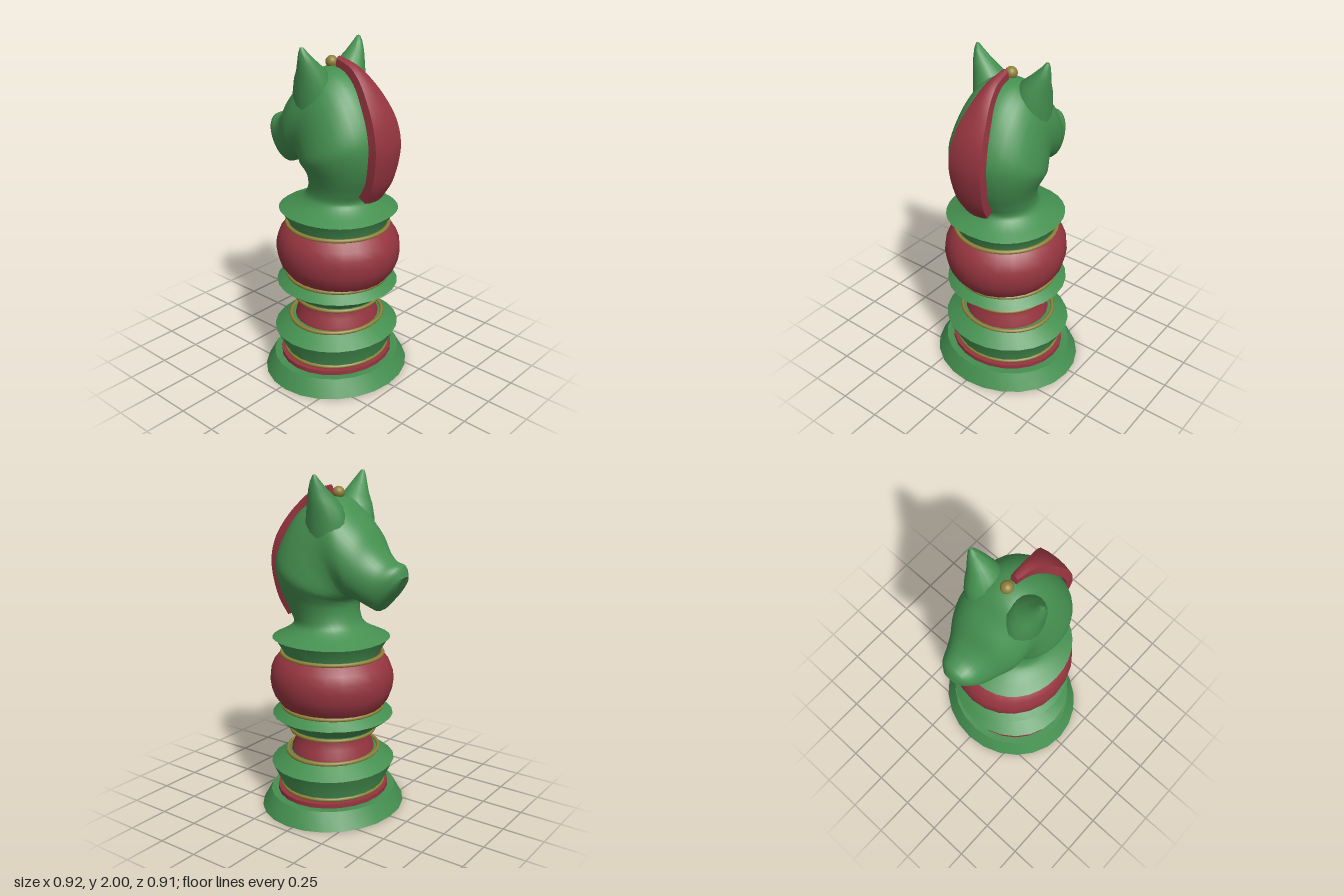
import * as THREE from 'three';
import { toCreasedNormals } from 'three/addons/utils/BufferGeometryUtils.js';

const paint = (color) => new THREE.MeshStandardMaterial({ color });
const green = paint(0x459050), red = paint(0x963540), gold = paint(0x8f8038);

// Skin a stack of rings (each counterclockwise seen from above) and cap both ends.
function loft(rings, crease) {
  const n = rings[0].length, pts = rings.flat(), index = [];
  for (let i = 0; i < rings.length - 1; i++) {
    for (let j = 0; j < n; j++) {
      const a = i * n + j, b = i * n + (j + 1) % n;
      index.push(a, b, a + n, b, b + n, a + n);
    }
  }
  [rings[0], rings[rings.length - 1]].forEach((ring, top) => {
    const mid = ring.reduce((s, p) => s.add(p), new THREE.Vector3()).divideScalar(n);
    const c = pts.push(mid) - 1, start = top ? (rings.length - 1) * n : 0;
    for (let j = 0; j < n; j++) {
      const a = start + j, b = start + (j + 1) % n;
      index.push(c, top ? a : b, top ? b : a);
    }
  });
  const geo = new THREE.BufferGeometry().setFromPoints(pts);
  geo.setIndex(index);
  geo.computeVertexNormals();
  return toCreasedNormals(geo, crease);
}

// Curves through [innerZ, innerY, outerZ, outerY, halfWidth] stations.
function sweep(stations, steps, ringAt) {
  const inner = new THREE.CatmullRomCurve3(stations.map(s => new THREE.Vector3(0, s[1], s[0])));
  const outer = new THREE.CatmullRomCurve3(stations.map(s => new THREE.Vector3(s[4], s[3], s[2])));
  return Array.from({ length: steps + 1 }, (_, i) => {
    const a = inner.getPoint(i / steps), b = outer.getPoint(i / steps), w = b.x;
    b.x = 0;
    return ringAt(a, b, w);
  });
}

export function createModel() {
  const group = new THREE.Group();
  const add = (name, geo, mat) => {
    const mesh = new THREE.Mesh(geo, mat);
    mesh.name = name;
    group.add(mesh);
    return mesh;
  };

  // Turned parts of the pedestal: [radius, y] profiles, depth scale and z centre
  const turned = (name, mat, profile, depth, z) => {
    const pts = [[0, profile[0][1]], ...profile, [0, profile[profile.length - 1][1]]];
    const geo = new THREE.LatheGeometry(pts.map(p => new THREE.Vector2(...p)), 24);
    geo.scale(1, 1, depth);
    geo.translate(0, 0, z);
    add(name, toCreasedNormals(geo, 0.55), mat);
  };
  turned('base', green, [[0.458, 0], [0.4, 0.1]], 0.92, 0.035);
  turned('baseDisc', red, [[0.355, 0.09], [0.355, 0.125]], 0.92, 0.035);
  turned('lowerFlange', green, [[0.32, 0.12], [0.325, 0.15], [0.39, 0.28], [0.285, 0.35]], 0.935, 0.035);
  turned('waist', red, [[0.262, 0.34], [0.255, 0.37], [0.236, 0.41], [0.224, 0.45], [0.22, 0.49]], 0.95, 0.037);
  turned('middleFlange', green, [[0.25, 0.475], [0.255, 0.5], [0.36, 0.58], [0.295, 0.63]], 1.01, 0.038);
  turned('bulb', red, [[0.285, 0.62], [0.305, 0.65], [0.335, 0.69], [0.352, 0.74], [0.36, 0.8],
    [0.355, 0.85], [0.336, 0.9], [0.305, 0.94], [0.28, 0.96]], 1.04, 0.045);
  turned('collar', green, [[0.285, 0.95], [0.29, 0.97], [0.34, 1.05]], 0.995, 0.045);

  // Gold beads between the turned parts: [y, radius, depth scale, z]
  [[0.14, 0.322, 0.93, 0.035], [0.35, 0.29, 0.92, 0.035], [0.483, 0.252, 1, 0.039],
    [0.63, 0.297, 1.01, 0.04], [0.955, 0.297, 1.01, 0.042]].forEach(([y, r, depth, z]) => {
    const ring = add('goldRing', new THREE.TorusGeometry(r, 0.012, 8, 48), gold);
    ring.rotation.x = Math.PI / 2;
    ring.scale.y = depth;
    ring.position.set(0, y, z);
  });

  // Neck and head: sections fan from the throat round to the muzzle
  const headStations = [
    [-0.29, 1.05, 0.385, 1.05, 0.34], [-0.18, 1.1, 0.295, 1.1, 0.24],
    [-0.13, 1.14, 0.262, 1.14, 0.203], [-0.105, 1.2, 0.285, 1.2, 0.205],
    [-0.1, 1.26, 0.33, 1.3, 0.23], [-0.11, 1.29, 0.36, 1.42, 0.262],
    [-0.125, 1.305, 0.36, 1.52, 0.28], [-0.14, 1.31, 0.31, 1.65, 0.272],
    [-0.155, 1.31, 0.2, 1.8, 0.25], [-0.165, 1.31, 0.08, 1.87, 0.236],
    [-0.175, 1.305, -0.05, 1.86, 0.232], [-0.19, 1.3, -0.15, 1.77, 0.222],
    [-0.215, 1.29, -0.22, 1.7, 0.2], [-0.245, 1.275, -0.29, 1.6, 0.168],
    [-0.275, 1.26, -0.36, 1.54, 0.142], [-0.3, 1.25, -0.43, 1.52, 0.115],
    [-0.335, 1.285, -0.455, 1.46, 0.08],
  ];
  const N = 32;
  const headRings = sweep(headStations, 64, (inner, outer, w) =>
    Array.from({ length: N }, (_, j) => {
      const a = j / N * Math.PI * 2, s = Math.sin(a);
      const p = inner.clone().lerp(outer, 0.5 + 0.5 * Math.cos(a));
      p.x = w * Math.sign(s) * Math.abs(s) ** 0.85;
      return p;
    }));
  add('head', loft(headRings, 0.9), green);

  // Ears: tapering rings leaning outward, [y, x, z, radiusX, radiusZ]
  const earStations = [[1.62, 0.13, -0.02, 0.095, 0.13], [1.74, 0.135, -0.018, 0.1, 0.125],
    [1.82, 0.143, -0.015, 0.097, 0.105], [1.87, 0.162, -0.008, 0.083, 0.077],
    [1.92, 0.194, -0.006, 0.054, 0.052], [1.97, 0.22, -0.008, 0.027, 0.027],
    [2.0, 0.23, -0.01, 0.01, 0.009]];
  for (const side of [1, -1]) {
    const rings = earStations.map(([y, x, z, rx, rz]) => Array.from({ length: 16 }, (_, j) => {
      const a = j / 16 * Math.PI * 2;
      return new THREE.Vector3(side * x + rx * Math.sin(a), y, z + rz * Math.cos(a));
    }));
    add(side > 0 ? 'leftEar' : 'rightEar', loft(rings, 0.9), green);
  }

  // Mane: gently ridged band over the back of the neck
  const maneStations = [
    [0.265, 1.18, 0.325, 1.15, 0.075], [0.32, 1.27, 0.38, 1.25, 0.09],
    [0.35, 1.4, 0.415, 1.4, 0.105], [0.355, 1.5, 0.418, 1.5, 0.108],
    [0.33, 1.6, 0.39, 1.62, 0.1], [0.28, 1.69, 0.33, 1.73, 0.08],
    [0.21, 1.78, 0.25, 1.83, 0.052], [0.14, 1.84, 0.165, 1.895, 0.033],
    [0.04, 1.86, 0.05, 1.93, 0.02],
  ];
  const maneRings = sweep(maneStations, 32, (inner, outer, w) =>
    [[0, 1], [0.55, 0.95], [1, 0.8], [1, 0], [-1, 0], [-1, 0.8], [-0.55, 0.95]].map(([x, t]) => {
      const p = inner.clone().lerp(outer, t);
      p.x = x * w;
      return p;
    }));
  add('mane', loft(maneRings, 0.6), red);

  // Gold bead between the ears
  add('crownBead', new THREE.SphereGeometry(0.035, 20, 14), gold).position.set(0, 1.89, -0.005);

  return group;
}
